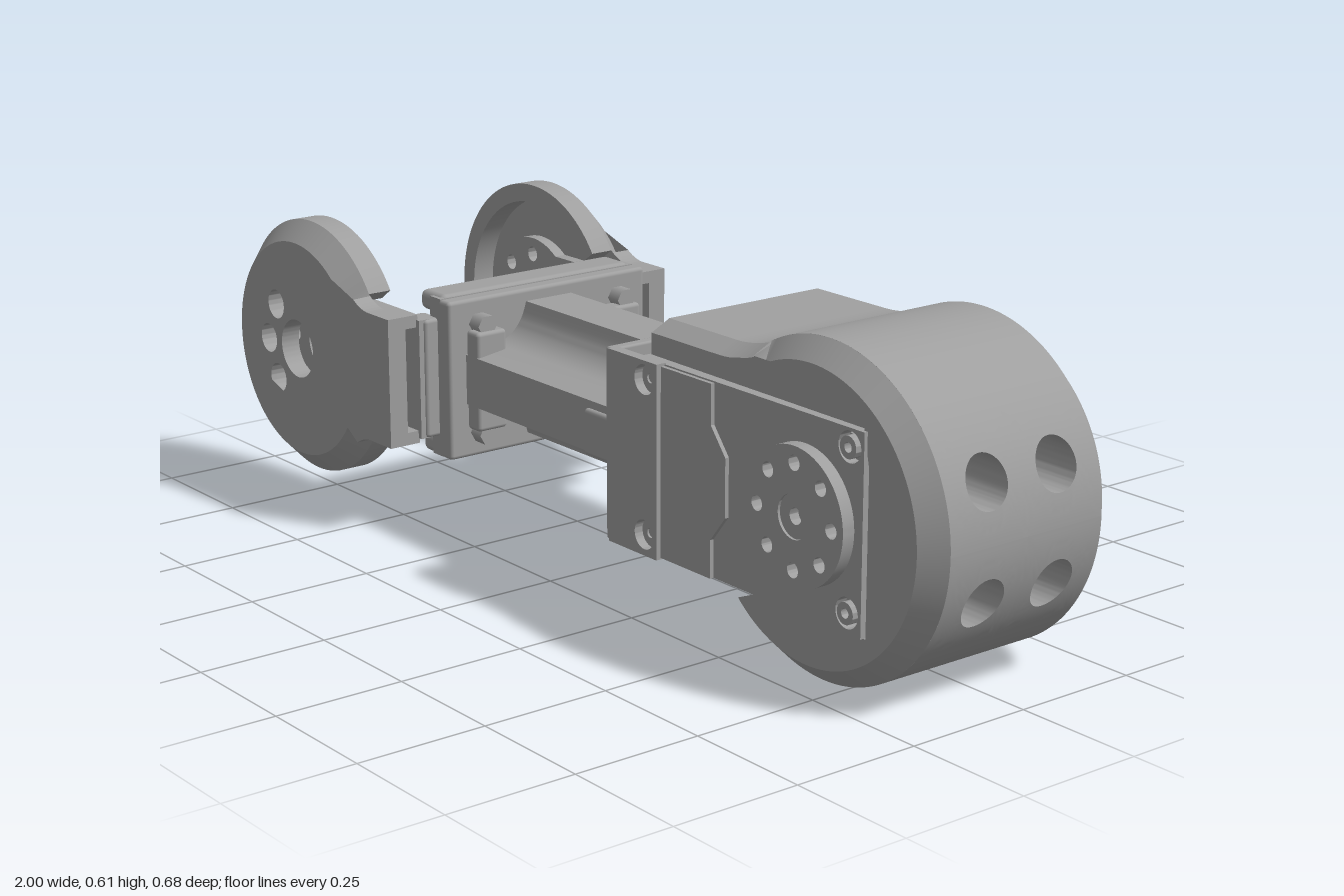
import * as THREE from 'three';
import { toCreasedNormals } from 'three/addons/utils/BufferGeometryUtils.js';
import { RoundedBoxGeometry } from 'three/addons/geometries/RoundedBoxGeometry.js';
import { ParametricGeometry } from 'three/addons/geometries/ParametricGeometry.js';

const CY = 0.305, HUB = 0.69, R = 0.305; // joint height, drum centre and radius
const FORK = -0.74, FR = 0.26; // fork disc centre and radius

export function createModel() {
  const model = new THREE.Group();
  const grey = new THREE.MeshStandardMaterial({ color: 0xa0a0a0, side: THREE.DoubleSide });
  grey.name = 'machined grey';

  const add = (name, geo, x = 0, y = 0, z = 0) => {
    const m = new THREE.Mesh(geo, grey);
    m.name = name;
    m.position.set(x, y, z);
    model.add(m);
    return m;
  };
  // box from its limits
  const box = (name, x0, x1, y0, y1, z0, z1, r = 0) => {
    const d = [x1 - x0, y1 - y0, z1 - z0];
    const g = r ? new RoundedBoxGeometry(...d, 2, r) : new THREE.BoxGeometry(...d);
    return add(name, g, (x0 + x1) / 2, (y0 + y1) / 2, (z0 + z1) / 2);
  };
  // plate between distances z0 and z1 on side s; rule reshapes its outer face
  const plate = (name, shape, z0, z1, s = 1, rule) => {
    const g = new THREE.ExtrudeGeometry(shape, { depth: z1 - z0, bevelEnabled: false, curveSegments: 40 });
    g.translate(0, 0, s > 0 ? z0 : -z1);
    if (rule) {
      const p = g.attributes.position;
      for (let i = 0; i < p.count; i++) {
        if (Math.abs(p.getZ(i) - s * z1) < 1e-4) p.setXY(i, ...rule(p.getX(i), p.getY(i)));
      }
    }
    return add(name, toCreasedNormals(g, 0.5));
  };
  const poly = (pts) => new THREE.Shape(pts.map(([x, y]) => new THREE.Vector2(x, y)));
  const rect = (x0, x1, y0, y1) => poly([[x0, y0], [x1, y0], [x1, y1], [x0, y1]]);
  const hole = (shape, x, y, r) => {
    shape.holes.push(new THREE.Path().absarc(x, y, r, 0, Math.PI * 2, true));
    return shape;
  };
  const disc = (x, y, r) => new THREE.Shape().absarc(x, y, r, 0, Math.PI * 2, false);
  // pull a point toward a centre by d
  const inset = (x, y, cx, cy, d) => {
    const k = 1 - d / Math.hypot(x - cx, y - cy);
    return [cx + (x - cx) * k, cy + (y - cy) * k];
  };

  // ---- Drum shell: C-shaped wall with a tongue over the actuator
  const shellShape = (notch) => {
    const s = new THREE.Shape();
    s.moveTo(0.265, 0.495);
    s.lineTo(0.265, 0.555);
    s.lineTo(0.45, 0.555);
    s.quadraticCurveTo(0.5, 0.555, 0.55, 0.573);
    const a = Math.asin(0.2 / R);
    if (notch) {
      s.absarc(HUB, CY, R, 2.067, a, true);
      s.lineTo(0.88, CY + 0.2);
      s.lineTo(0.88, CY - 0.2);
      s.absarc(HUB, CY, R, -a, -2.31, true);
    } else s.absarc(HUB, CY, R, 2.067, -2.31, true);
    s.lineTo(0.56, 0.128);
    s.lineTo(0.84, 0.128);
    s.lineTo(0.84, 0.492);
    s.closePath();
    return s;
  };
  plate('drumShell', shellShape(true), -0.175, 0.175);
  for (const s of [1, -1]) {
    plate('drumShellRim', shellShape(false), 0.175, 0.215, s, (x, y) => {
      if (x < 0.55 && y > 0.4) return [x, y > 0.53 ? y - 0.02 : y];
      return Math.hypot(x - HUB, y - CY) > 0.29 ? inset(x, y, HUB, CY, 0.037) : [x, y];
    });
  }

  // ---- Curved drum face with four counterbored holes
  const corners = [[-1, -1], [1, -1], [1, 1], [-1, 1], [-1, -1]];
  for (const sy of [1, -1]) for (const sz of [1, -1]) {
    const hy = CY + sy * 0.105, hz = sz * 0.08;
    const g = new ParametricGeometry((u, v, out) => {
      const k = Math.min(3, Math.floor(u * 4 + 1e-6)), f = u * 4 - k;
      const [a, b] = [corners[k], corners[k + 1]];
      const py = CY + sy * 0.1 + 0.1 * (a[0] + (b[0] - a[0]) * f);
      const pz = sz * 0.0875 + 0.0875 * (a[1] + (b[1] - a[1]) * f);
      const d = Math.hypot(py - hy, pz - hz);
      const cy = hy + (py - hy) / d * 0.046, cz = hz + (pz - hz) / d * 0.046;
      const t = Math.max(0, (v * 8 - 1) / 7);
      const y = cy + (py - cy) * t, z = cz + (pz - cz) * t;
      out.set(v < 0.06 ? 0.88 : HUB + Math.sqrt(R * R - (y - CY) ** 2), y, z);
    }, 64, 8);
    add('drumFaceBore', toCreasedNormals(g, 0.5));
    const screw = add('drumScrew', new THREE.CylinderGeometry(0.018, 0.018, 0.02, 20), 0.885, hy, hz);
    screw.rotation.z = Math.PI / 2;
  }

  // ---- Actuator inside the drum
  box('actuatorBody', 0.24, 0.84, 0.15, 0.47, -0.2, 0.2);
  box('bracketWeb', 0.155, 0.178, 0.125, 0.49, -0.235, 0.235, 0.005);
  for (const s of [1, -1]) {
    const face = rect(0.24, 0.835, 0.128, 0.488);
    for (const y of [0.165, 0.455]) hole(face, 0.8, y, 0.028);
    plate('actuatorFace', face, 0.198, 0.222, s);
    const flange = rect(0.17, 0.31, 0.125, 0.49);
    for (const y of [0.165, 0.455]) hole(flange, 0.275, y, 0.028);
    plate('bracketFlange', flange, 0.218, 0.24, s);
    plate('bracketWing', poly([[0.31, 0.128], [0.45, 0.128], [0.45, 0.2], [0.49, 0.25],
      [0.49, 0.36], [0.45, 0.41], [0.45, 0.485], [0.31, 0.485]]), 0.218, 0.23, s);
    for (const y of [0.165, 0.455]) for (const x of [0.275, 0.8]) {
      plate('faceScrew', hole(disc(x, y, 0.02), x, y, 0.009), 0.2, 0.226, s);
    }
    // output horn with its ring of holes
    const horn = hole(disc(HUB, 0.31, 0.125), HUB, 0.31, 0.04);
    for (let i = 0; i < 8; i++) {
      const a = i * Math.PI / 4;
      hole(horn, HUB + 0.095 * Math.cos(a), 0.31 + 0.095 * Math.sin(a), 0.014);
    }
    plate('outputHorn', horn, 0.22, 0.247, s);
    plate('hornHub', hole(disc(HUB, 0.31, 0.041), HUB, 0.31, 0.015), 0.22, 0.242, s);
  }
  // rear shaft stub
  plate('shaftStub', hole(disc(HUB, 0.31, 0.028), HUB, 0.31, 0.012), 0.23, 0.31, -1);
  plate('shaftCollar', disc(HUB, 0.31, 0.045), 0.24, 0.275, -1);

  // ---- Link beam: cross-shaped section with coved corners
  const beam = new THREE.Shape();
  beam.moveTo(0.055, 0.135);
  beam.quadraticCurveTo(0.07, 0.07, 0.13, 0.06);
  beam.lineTo(0.2, 0.05);
  beam.lineTo(0.2, -0.05);
  beam.lineTo(0.13, -0.06);
  beam.quadraticCurveTo(0.07, -0.07, 0.055, -0.135);
  beam.lineTo(-0.055, -0.135);
  beam.quadraticCurveTo(-0.07, -0.07, -0.13, -0.06);
  beam.lineTo(-0.2, -0.05);
  beam.lineTo(-0.2, 0.05);
  beam.lineTo(-0.13, 0.06);
  beam.quadraticCurveTo(-0.07, 0.07, -0.055, 0.135);
  const beamGeo = new THREE.ExtrudeGeometry(beam, { depth: 0.52, bevelEnabled: false, curveSegments: 12 });
  beamGeo.rotateY(Math.PI / 2);
  add('linkBeam', toCreasedNormals(beamGeo, 0.5), -0.36, 0.31, 0);
  for (const s of [1, -1]) {
    box('beamClip', 0.05, 0.16, 0.255, 0.345, s * 0.18 - 0.028, s * 0.18 + 0.028, 0.008);
    box('beamFoot', -0.34, -0.3, 0.21, 0.41, s * 0.165 - 0.035, s * 0.165 + 0.035, 0.008);
    for (const y of [0.2, 0.42]) for (const x of [-0.325, 0.145]) {
      const b = add('beamBolt', new THREE.CylinderGeometry(0.022, 0.022, 0.035, 6), x, y, s * 0.17);
      b.rotation.z = Math.PI / 2;
    }
  }
  box('beamEndPlate', -0.376, -0.34, 0.15, 0.47, -0.24, 0.24, 0.008);

  // ---- Fork: web, edge bars, side plates and disc covers
  box('forkWeb', -0.41, -0.374, 0.15, 0.47, -0.235, 0.235);
  for (const y of [0.145, 0.435]) box('forkBar', -0.455, -0.375, y, y + 0.04, -0.23, 0.23, 0.014);
  const aj = Math.asin(0.15 / FR);
  const xj = FORK + FR * Math.cos(aj);
  const coverShape = () => {
    const s = new THREE.Shape();
    s.moveTo(-0.4, 0.18);
    s.lineTo(-0.4, 0.44);
    s.lineTo(-0.47, 0.44);
    s.quadraticCurveTo(-0.5, 0.44, xj, 0.46);
    s.absarc(FORK, 0.31, FR, aj, Math.PI * 2 - aj, false);
    s.quadraticCurveTo(-0.5, 0.18, -0.47, 0.18);
    s.closePath();
    return s;
  };
  for (const s of [1, -1]) {
    const cover = hole(coverShape(), FORK, 0.31, 0.06);
    for (const a of [0.75, 1, 1.25]) {
      hole(cover, FORK + 0.11 * Math.cos(a * Math.PI), 0.31 + 0.11 * Math.sin(a * Math.PI), 0.03);
    }
    plate('forkCover', cover, 0.3, 0.34, s, (x, y) => {
      const r = Math.hypot(x - FORK, y - 0.31);
      return r > 0.25 && x < xj + 0.005 ? inset(x, y, FORK, 0.31, 0.04) : [x, y];
    });
    // rim of the cup, open where the side plate enters
    const rim = new THREE.Shape();
    rim.absarc(FORK, 0.31, FR, aj, Math.PI * 2 - aj, false);
    rim.absarc(FORK, 0.31, 0.222, Math.PI * 2 - aj, aj, true);
    plate('forkCoverRim', rim, 0.25, 0.3, s);
    for (const y of [0.18, 0.415]) {
      box('coverTabWall', -0.55, -0.4, y, y + 0.025, Math.min(s * 0.272, s * 0.302), Math.max(s * 0.272, s * 0.302));
    }
    // side plate running into the cup
    const side = new THREE.Shape();
    side.moveTo(-0.39, 0.19);
    side.lineTo(-0.39, 0.43);
    side.lineTo(-0.62, 0.43);
    side.absarc(FORK, 0.31, 0.145, 0.97, Math.PI * 2 - 0.97, false);
    side.lineTo(-0.62, 0.19);
    side.closePath();
    hole(side, FORK, 0.31, 0.06);
    for (let i = 0; i < 8; i++) {
      const a = i * Math.PI / 4;
      hole(side, FORK + 0.11 * Math.cos(a), 0.31 + 0.11 * Math.sin(a), 0.016);
    }
    plate('forkSidePlate', side, 0.25, 0.275, s);
    box('forkCorner', -0.445, -0.385, 0.19, 0.43, s * 0.245 - 0.02, s * 0.245 + 0.02, 0.008);
  }
  return model;
}
